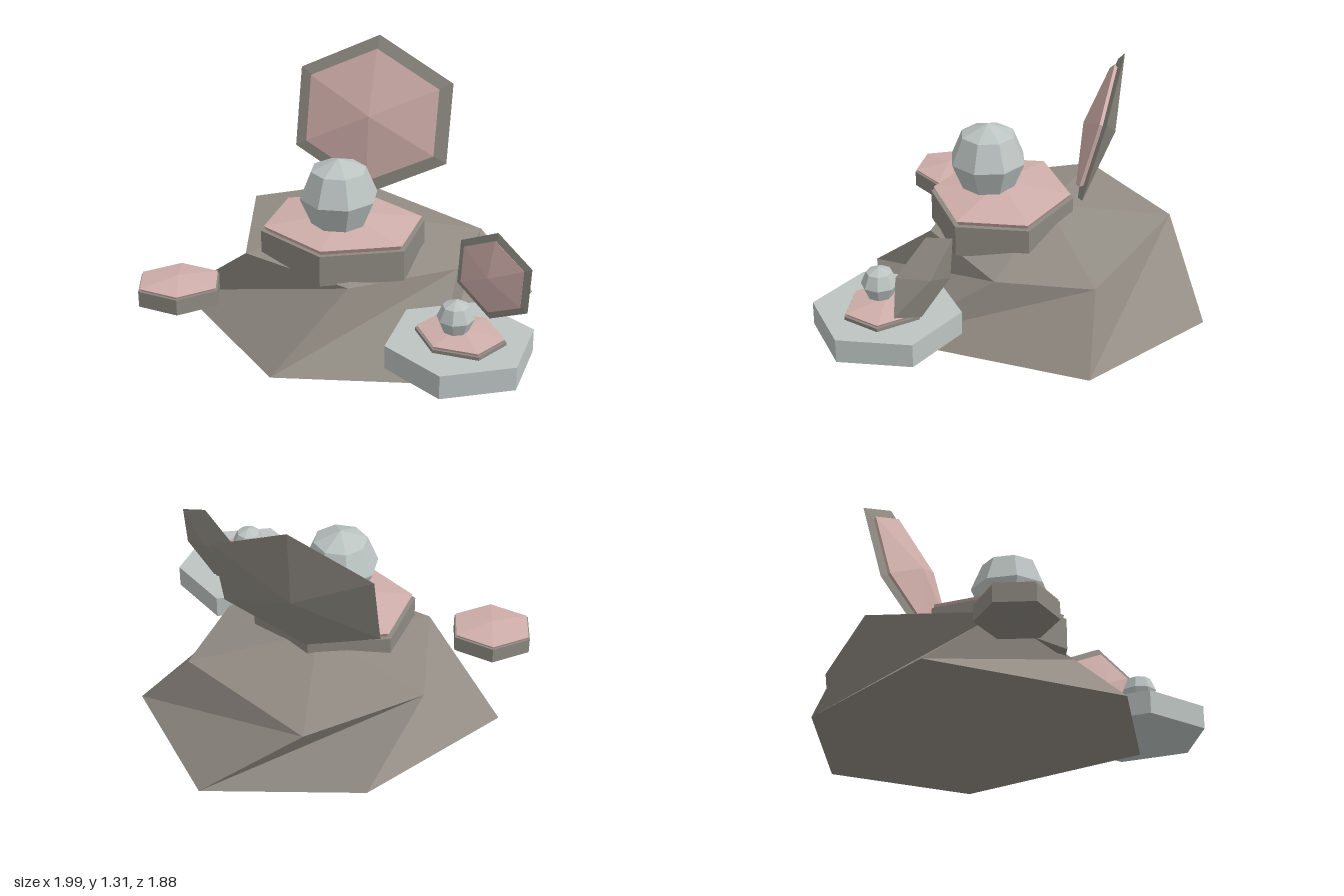
import * as THREE from 'three';

const flat = (name, color) => {
  const m = new THREE.MeshStandardMaterial({ color, flatShading: true });
  m.name = name;
  return m;
};

export function createModel() {
  const stone = flat('stone', 0x928c84);
  const shell = flat('shell', 0x8d8981);
  const pink = flat('pinkFlesh', 0xcfaeaa);
  const pale = flat('palePearl', 0xbcc4c2);
  const model = new THREE.Group();

  const add = (parent, name, geo, mat, x = 0, y = 0, z = 0) => {
    const m = new THREE.Mesh(geo, mat);
    m.name = name;
    m.position.set(x, y, z);
    parent.add(m);
    return m;
  };

  // Six-sided solid: rings of [radius, y] from bottom to top, squashed in z
  const hex = (rings, squash) =>
    new THREE.LatheGeometry(rings.map(([r, y]) => new THREE.Vector2(r, y)), 6).scale(1, 1, squash);

  // Rock: two irregular six-point rings, a raised top centre and a flat underside
  const low = [[-0.19, 0, 0.81], [0.588, 0, 0.62], [0.825, 0, -0.42],
    [0.24, 0, -0.945], [-0.525, 0, -0.645], [-0.955, 0, 0.13]];
  const high = [[0.09, 0.35, 0.46], [0.535, 0.335, 0.07], [0.537, 0.328, -0.42],
    [-0.23, 0.35, -0.745], [-0.68, 0.4, -0.295], [-0.495, 0.385, 0.325]];
  const peak = [-0.05, 0.465, -0.12];
  const pos = [];
  for (let i = 0; i < 6; i++) {
    const j = (i + 1) % 6;
    const faces = [
      [high[i], low[i], high[j]],
      [low[i], low[j], high[j]],
      [peak, high[i], high[j]],
      [[0, 0, 0], low[j], low[i]],
    ];
    pos.push(...faces.flat(2));
  }
  const rockGeo = new THREE.BufferGeometry();
  rockGeo.setAttribute('position', new THREE.Float32BufferAttribute(pos, 3));
  rockGeo.computeVertexNormals();
  add(model, 'rock', rockGeo, stone);

  // Shellfish: origin at the top of the lower shell
  const shellfish = (name, x, y, z, scale, turn, open) => {
    const g = new THREE.Group();
    g.name = name;
    g.position.set(x, y, z);
    g.rotation.y = turn;
    g.scale.setScalar(scale);
    model.add(g);

    add(g, 'lowerShell', hex([[0, -0.24], [0.43, -0.16], [0.43, 0], [0, 0]], 0.85), shell);
    add(g, 'lowerFlesh', hex([[0, 0], [0.4, 0], [0.415, 0.023], [0, 0.08]], 0.85), pink);
    if (!open) return;

    add(g, 'pearl', new THREE.SphereGeometry(open.pearl, 8, 4), pale, 0, 0.2, 0.07).rotation.y = -0.22;

    // Raised upper shell, tipped so that its inside faces forward
    const lid = new THREE.Group();
    lid.name = 'upperShell';
    lid.position.set(0, open.lidY, open.lidZ);
    lid.rotation.x = Math.PI / 2 - open.tilt;
    g.add(lid);
    add(lid, 'upperShellBack', hex([[0, -0.075], [0.4735, 0], [0, 0.07]], 0.878), shell);
    add(lid, 'upperFlesh', hex([[0, 0], [0.38, 0.005], [0.4, 0.03], [0, 0.09]], 0.865), pink);
  };

  shellfish('largeShellfish', -0.05, 0.507, 0.11, 1, 0,
    { pearl: 0.197, lidY: 0.406, lidZ: -0.4975, tilt: 0.262 });
  shellfish('smallOpenShellfish', 0.682, 0.262, 0.572, 0.535, -0.47,
    { pearl: 0.168, lidY: 0.417, lidZ: -0.43, tilt: 0.09 });
  shellfish('smallClosedShellfish', -0.783, 0.267, 0.508, 0.523, 0.34, null);

  // Pale block under the small open shellfish
  add(model, 'paleBlock', new THREE.CylinderGeometry(0.364, 0.364, 0.12, 6), pale, 0.68, 0.185, 0.572);

  return model;
}
